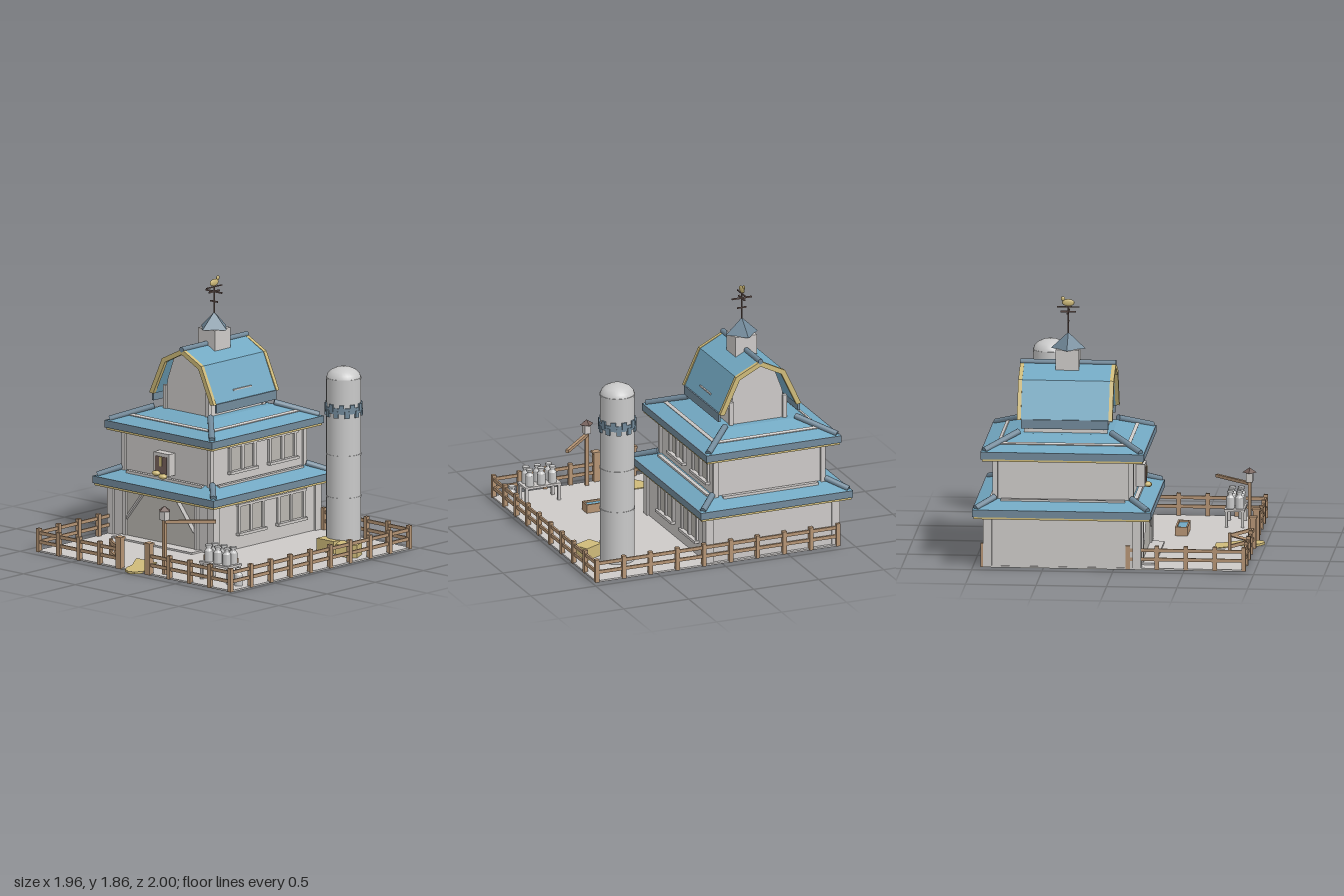
import * as THREE from 'three';

const mat = (name, color, opt = {}) => {
  const m = new THREE.MeshStandardMaterial({ color, ...opt });
  m.name = name;
  return m;
};

export function createModel() {
  const stone = mat('stone', 0xcdcac8), door = mat('doorGrey', 0xb9b6b0), metal = mat('metal', 0xc9c9c9);
  const blue = mat('roofBlue', 0x72a8c2), slate = mat('slate', 0x728a9b), gold = mat('straw', 0xcfbb7a);
  const wood = mat('wood', 0xb59474), dark = mat('darkWood', 0x75605a);
  const root = new THREE.Group();
  root.name = 'farmstead';

  const add = (name, geo, m, x = 0, y = 0, z = 0, parent = root) => {
    const mesh = new THREE.Mesh(geo, m);
    mesh.name = name;
    mesh.position.set(x, y, z);
    parent.add(mesh);
    return mesh;
  };
  // box given by its ranges
  const box = (name, m, x0, x1, y0, y1, z0, z1, parent) =>
    add(name, new THREE.BoxGeometry(x1 - x0, y1 - y0, z1 - z0), m, (x0 + x1) / 2, (y0 + y1) / 2, (z0 + z1) / 2, parent);
  const group = (name, x = 0, y = 0, z = 0) => {
    const g = new THREE.Group();
    g.name = name;
    g.position.set(x, y, z);
    root.add(g);
    return g;
  };
  // bar between two points, box or round
  const bar = (name, m, a, b, w, h, parent, round = false) => {
    const p = new THREE.Vector3(...a), q = new THREE.Vector3(...b), len = p.distanceTo(q);
    const geo = round ? new THREE.CylinderGeometry(w, w, len, 10).rotateX(Math.PI / 2) : new THREE.BoxGeometry(w, h, len);
    const mesh = add(name, geo, m, 0, 0, 0, parent);
    mesh.position.copy(p).add(q).multiplyScalar(0.5);
    mesh.quaternion.setFromUnitVectors(new THREE.Vector3(0, 0, 1), q.sub(p).normalize());
    if (Math.abs(a[1] - b[1]) < 1e-6) mesh.rotation.set(0, Math.atan2(b[0] - a[0], b[2] - a[2]), 0);
    return mesh;
  };
  const extrude = (pts, depth) =>
    new THREE.ExtrudeGeometry(new THREE.Shape(pts.map(p => new THREE.Vector2(...p))), { depth, bevelEnabled: false });

  // Yard, path and step
  box('yard', stone, -0.9, 0.97, 0, 0.012, -0.935, 0.925);
  const path = [[-0.2, 0.65], [0, 0.65], [0.02, 0.72], [0.07, 0.78], [0.12, 0.92], [0.09, 0.98], [0.04, 0.995],
    [-0.02, 0.96], [-0.06, 0.9], [-0.08, 0.82], [-0.14, 0.74]];
  add('path', extrude(path.map(([x, z]) => [x, -z]).reverse(), 0.016).rotateX(-Math.PI / 2), gold, 0, 0.002, 0);

  // Barn, built around its own centre
  const barn = group('barn', -0.395, 0, -0.365);
  box('frontStep', stone, -0.385, 0.39, 0.002, 0.025, 0.5, 0.65, barn);

  const storey = (hx, hz, y0, y1, post) => {
    box('wall', stone, -hx + 0.015, hx - 0.015, y0, y1, -hz + 0.015, hz - 0.015, barn);
    for (const sx of [-1, 1]) for (const sz of [-1, 1])
      add('cornerPost', new THREE.BoxGeometry(post, y1 - y0, post), stone,
        sx * (hx - post / 2), (y0 + y1) / 2, sz * (hz - post / 2), barn);
  };
  const skirtRoof = (hx, hz, y, run, rise) => {
    box('soffit', stone, -hx + 0.03, hx - 0.03, y - 0.004, y + 0.02, -hz + 0.03, hz - 0.03, barn);
    box('eaveTrim', gold, -hx + 0.01, hx - 0.01, y, y + 0.022, -hz + 0.01, hz - 0.01, barn);
    box('fascia', slate, -hx, hx, y + 0.016, y + 0.068, -hz, hz, barn);
    const top = y + 0.065, geo = new THREE.BoxGeometry(2 * hx, rise, 2 * hz), p = geo.attributes.position;
    for (let i = 0; i < p.count; i++)
      if (p.getY(i) > 0) p.setXYZ(i, p.getX(i) * (hx - run) / hx, p.getY(i), p.getZ(i) * (hz - run) / hz);
    geo.computeVertexNormals();
    add('skirtRoof', geo, blue, 0, top + rise / 2, 0, barn);
    for (const sx of [-1, 1]) for (const sz of [-1, 1])
      bar('hipPole', slate, [sx * (hx - 0.025), top + 0.012, sz * (hz - 0.025)],
        [sx * (hx - run), top + rise + 0.015, sz * (hz - run)], 0.022, 0, barn, true);
  };
  storey(0.515, 0.56, 0.002, 0.365, 0.06);
  skirtRoof(0.585, 0.635, 0.36, 0.15, 0.055);
  storey(0.43, 0.5, 0.43, 0.775, 0.035);
  skirtRoof(0.52, 0.58, 0.765, 0.25, 0.09);

  // Ledges above the lower roof and light battens on the upper one
  for (const s of [-1, 1]) {
    box('wallLedge', stone, -0.365, 0.365, 0.43, 0.485, s * 0.51 - 0.015, s * 0.51 + 0.015, barn);
    box('wallLedge', stone, s * 0.445 - 0.015, s * 0.445 + 0.015, 0.43, 0.485, -0.44, 0.44, barn);
    const a = Math.atan2(0.09, 0.25);
    add('roofBatten', new THREE.BoxGeometry(0.77, 0.008, 0.025), stone, 0, 0.876, s * 0.46, barn).rotation.x = s * a;
    add('roofBatten', new THREE.BoxGeometry(0.025, 0.008, 0.9), stone, s * 0.4, 0.876, 0, barn).rotation.z = -s * a;
  }

  // Barn door with braces
  box('barnDoor', door, -0.335, 0.325, 0.025, 0.355, 0.545, 0.552, barn);
  for (const s of [-1, 1]) {
    box('doorJamb', stone, s * 0.345 - 0.015, s * 0.345 + 0.015, 0.02, 0.36, 0.54, 0.565, barn);
    bar('doorBrace', stone, [s * 0.17, 0.35, 0.555], [s * 0.33, 0.15, 0.555], 0.028, 0.012, barn);
  }

  // Loft window with straw
  box('loftFrame', stone, -0.075, 0.075, 0.51, 0.67, 0.48, 0.55, barn);
  box('loftOpening', dark, -0.057, 0.057, 0.52, 0.645, 0.55, 0.555, barn);
  box('loftStraw', gold, -0.013, 0.013, 0.575, 0.645, 0.555, 0.56, barn);
  for (const [x, y] of [[-0.035, 0.522], [0.03, 0.507]])
    add('strawSack', new THREE.SphereGeometry(0.035, 12, 8).scale(1, 0.55, 0.8), gold, x, y, 0.565, barn);

  // Windows on the right-hand walls
  for (const [x, y0, y1] of [[0.415, 0.56, 0.73], [0.5, 0.13, 0.32]]) {
    box('windowSill', stone, x, x + 0.035, y0 - 0.02, y0, 0.02, 0.31, barn);
    box('windowSill', stone, x, x + 0.035, y0 - 0.02, y0, -0.4, -0.1, barn);
    box('windowHead', stone, x, x + 0.025, y1, y1 + 0.018, -0.4, 0.31, barn);
    for (const z of [-0.38, -0.25, -0.12, 0.04, 0.165, 0.29])
      box('windowBar', stone, x, x + 0.018, y0, y1, z - 0.012, z + 0.012, barn);
    for (const z of [-0.25, 0.165])
      box('windowPane', door, x, x + 0.004, y0, y1, z - 0.12, z + 0.12, barn);
  }

  // Gambrel attic
  const half = [[0.215, 0.9], [0.19, 1.13], [0.13, 1.29], [0, 1.365]];
  const mirror = pts => [...pts, ...pts.slice(0, -1).reverse().map(([x, y]) => [-x, y])];
  add('atticWall', extrude(mirror(half), 0.56), stone, 0, 0, -0.28, barn);
  for (const sx of [-1, 1]) for (const sz of [-1, 1])
    box('atticPost', stone, sx * 0.205 - 0.016, sx * 0.205 + 0.016, 0.91, 1.09, sz * 0.28 - 0.016, sz * 0.28 + 0.016, barn);
  const shell = t => [...mirror([[0.305, 1.025], [0.185, 1.29], [0, 1.385]]),
    ...mirror([[0.305 - t, 1.02], [0.185 - t * 0.8, 1.29 - t * 0.7], [0, 1.385 - t * 1.1]]).reverse()];
  add('gambrelRoof', extrude(shell(0.022), 0.64), blue, 0, 0, -0.32, barn);
  for (const s of [-1, 1]) {
    const trim = add('gableTrim', extrude(shell(0.035), 0.028), gold, 0, 0.002, s * 0.325 - 0.014, barn);
    trim.scale.x = 1.025;
    box('eaveStrip', slate, s * 0.305 - 0.008, s * 0.305 + 0.008, 0.965, 1.03, -0.31, 0.31, barn);
  }
  bar('roofBatten', stone, [0.278, 1.095, -0.09], [0.278, 1.095, 0.1], 0.01, 0.01, barn);
  bar('ridgePole', slate, [0, 1.385, -0.34], [0, 1.385, 0.34], 0.02, 0, barn, true);

  // Cupola and weather vane
  box('cupola', stone, -0.082, 0.082, 1.31, 1.49, -0.082, 0.082, barn);
  add('cupolaRoof', new THREE.ConeGeometry(0.122, 0.115, 4).toNonIndexed(), slate, 0, 1.545, 0, barn).geometry.computeVertexNormals();
  add('vanePole', new THREE.CylinderGeometry(0.006, 0.006, 0.25, 8), dark, 0, 1.7, 0, barn);
  box('vaneArm', dark, -0.077, 0.077, 1.745, 1.755, -0.005, 0.005, barn);
  box('vaneArm', dark, -0.005, 0.005, 1.745, 1.755, -0.055, 0.055, barn);
  box('vaneArm', dark, -0.035, 0.035, 1.673, 1.683, -0.004, 0.004, barn);
  box('vaneArrow', dark, -0.004, 0.004, 1.78, 1.788, -0.08, 0.08, barn);
  add('vaneBirdBody', new THREE.SphereGeometry(0.03, 12, 8).scale(0.35, 0.85, 1.5), gold, 0, 1.815, 0, barn);
  add('vaneBirdHead', new THREE.SphereGeometry(0.016, 10, 8).scale(0.5, 1, 1), gold, 0, 1.843, -0.038, barn);

  // Silo
  const silo = group('silo', 0.655, 0, -0.58);
  const profile = [[0, 1.335], [0.05, 1.329], [0.09, 1.31], [0.115, 1.285], [0.123, 1.255]].map(p => new THREE.Vector2(...p));
  add('siloDome', new THREE.LatheGeometry(profile.reverse(), 32), metal, 0, 0, 0, silo);
  add('siloBody', new THREE.CylinderGeometry(0.123, 0.123, 1.255, 32), metal, 0, 0.63, 0, silo);
  for (const y of [0.4, 0.705, 1.255])
    add('siloBand', new THREE.CylinderGeometry(0.126, 0.126, 0.01, 32), metal, 0, y, 0, silo);
  add('siloCrown', new THREE.CylinderGeometry(0.131, 0.131, 0.042, 32), slate, 0, 1.035, 0, silo);
  for (let i = 0; i < 20; i++) {
    const a = i * Math.PI / 10;
    add('crownTooth', new THREE.BoxGeometry(0.036, 0.05, 0.012), slate,
      0.128 * Math.sin(a), i % 2 ? 1.01 : 1.055, 0.128 * Math.cos(a), silo).rotation.y = a;
  }

  // Hay bales
  add('hayBale', new THREE.BoxGeometry(0.165, 0.095, 0.11), gold, 0.635, 0.055, -0.465);
  add('hayBale', new THREE.BoxGeometry(0.16, 0.095, 0.12), gold, 0.825, 0.055, -0.45).rotation.y = 0.45;

  // Milk cans on a bench
  const canProfile = [[0, 0], [0.03, 0], [0.03, 0.078], [0.018, 0.095], [0.018, 0.105], [0.025, 0.108], [0.025, 0.122], [0, 0.122]]
    .map(p => new THREE.Vector2(...p));
  const canGeo = new THREE.LatheGeometry(canProfile, 16).toNonIndexed();
  canGeo.computeVertexNormals();
  for (const x of [0.605, 0.692, 0.78]) for (const z of [0.7, 0.765]) add('milkCan', canGeo, metal, x, 0.142, z);
  add('milkCan', canGeo, metal, 0.89, 0.012, 0.763);
  box('canBench', stone, 0.55, 0.83, 0.125, 0.142, 0.66, 0.805);
  for (const x of [0.565, 0.815]) for (const z of [0.675, 0.79])
    box('benchLeg', stone, x - 0.01, x + 0.01, 0.01, 0.125, z - 0.01, z + 0.01);

  // Water trough
  for (const z of [0.345, 0.422]) box('troughSide', wood, 0.24, 0.495, 0.01, 0.075, z - 0.006, z + 0.006);
  for (const x of [0.246, 0.489]) box('troughEnd', wood, x - 0.006, x + 0.006, 0.01, 0.075, 0.345, 0.422);
  box('troughWater', blue, 0.25, 0.485, 0.01, 0.062, 0.35, 0.417);

  // Lantern post with its long boom
  box('lanternPost', wood, 0.259, 0.283, 0.01, 0.41, 0.853, 0.877);
  box('lantern', stone, 0.247, 0.295, 0.405, 0.475, 0.841, 0.889);
  const cap = add('lanternCap', new THREE.ConeGeometry(0.052, 0.035, 4).toNonIndexed(), dark, 0.271, 0.49, 0.865);
  cap.geometry.computeVertexNormals();
  bar('boom', wood, [0.271, 0.392, 0.865], [0.53, 0.392, 0.61], 0.024, 0.022);

  // Fence runs, gate posts and open gate
  const fence = (ax, az, bx, bz, n) => {
    for (let i = 0; i <= n; i++)
      add('fencePost', new THREE.BoxGeometry(0.03, 0.17, 0.03), wood, ax + (bx - ax) * i / n, 0.087, az + (bz - az) * i / n);
    for (const y of [0.075, 0.14]) bar('fenceRail', wood, [ax, y, az], [bx, y, bz], 0.014, 0.024);
  };
  fence(-0.89, 0.922, -0.105, 0.922, 4);
  fence(0.175, 0.922, 0.962, 0.922, 4);
  fence(0.962, 0.922, 0.962, -0.93, 9);
  fence(0.962, -0.93, -0.89, -0.93, 9);
  fence(-0.89, 0.922, -0.89, 0.1, 4);
  for (const x of [-0.105, 0.175]) {
    box('gatePost', wood, x - 0.022, x + 0.022, 0.005, 0.22, 0.9, 0.944);
    box('gatePostCap', wood, x - 0.028, x + 0.028, 0.22, 0.235, 0.894, 0.95);
  }
  for (const y of [0.06, 0.14]) bar('gateRail', wood, [-0.105, y, 0.922], [-0.33, y, 0.775], 0.016, 0.024);
  bar('gateBrace', wood, [-0.12, 0.06, 0.912], [-0.32, 0.14, 0.782], 0.012, 0.02);
  box('gateStile', wood, -0.34, -0.32, 0.03, 0.16, 0.765, 0.785);
  return root;
}
